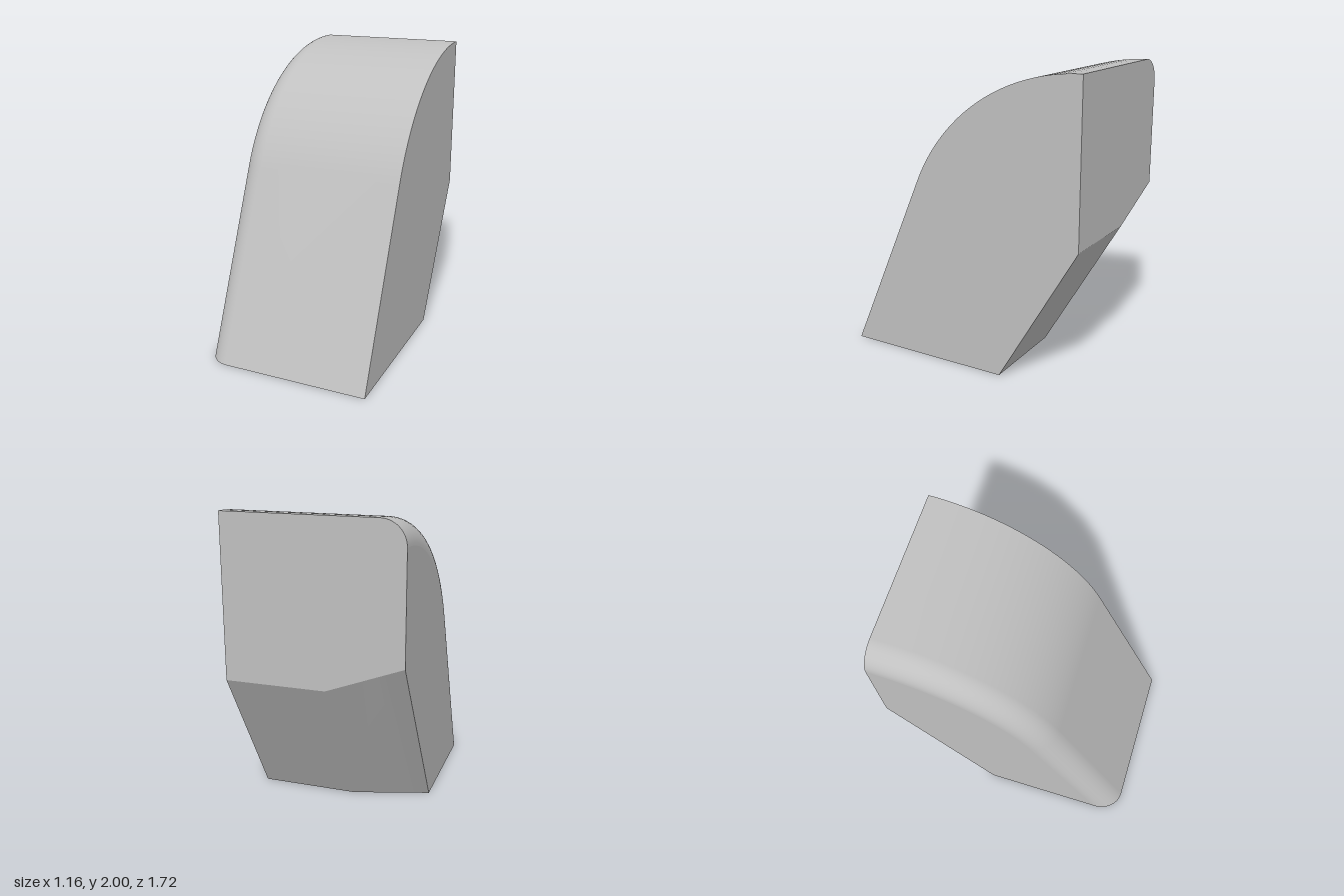
import * as THREE from 'three';

const HALF = 0.58;              // half width
const BACK = -0.86, FRONT = 0.86, TOP = 2;
const FILLET = 0.16;            // rounded edge on the right side
const R = 1.28, SLOPE = THREE.MathUtils.degToRad(23.85); // curved top, leaning front
const BEND = -0.08;             // where the underside starts to taper

// Side outline at one x, in four runs of [z, y] points
function section(x) {
  const u = Math.max(0, -HALF + FILLET - x);
  const inset = FILLET - Math.sqrt(Math.max(0, FILLET * FILLET - u * u));
  const t = Math.max(0, (BEND - x) / (BEND + HALF));
  const front = [[FRONT - inset / Math.cos(SLOPE), 0]];
  const steps = 24;
  for (let i = 0; i <= steps; i++) {
    const a = THREE.MathUtils.lerp(SLOPE, Math.PI / 2, i / steps);
    front.push([BACK + (R - inset) * Math.cos(a), TOP - R + (R - inset) * Math.sin(a)]);
  }
  const backTop = front[front.length - 1];
  const backLow = [BACK, 0.94 + 0.19 * t];
  const heel = [-0.31 + 0.155 * t, 0];
  return { front, back: [backTop, backLow], underside: [backLow, heel], base: [heel, front[0]] };
}

// Stations across the width, dense around the rounded edge
const stations = [HALF, BEND];
for (let i = 0; i <= 14; i++) {
  stations.push(-HALF + FILLET - FILLET * Math.sin((i / 14) * Math.PI / 2));
}
const sections = stations.map(section);

function geometry(points, index) {
  const g = new THREE.BufferGeometry();
  g.setAttribute('position', new THREE.Float32BufferAttribute(points, 3));
  g.setIndex(index);
  g.computeVertexNormals();
  return g;
}

// Skin one run of the outline across all stations
function skin(run) {
  const points = [], index = [];
  const n = sections[0][run].length;
  sections.forEach((s, i) => s[run].forEach(([z, y], j) => {
    points.push(stations[i], y, z);
    if (i && j) {
      const d = i * n + j, c = d - 1, b = d - n, a = b - 1;
      index.push(a, b, c, b, d, c);
    }
  }));
  return geometry(points, index);
}

// Flat side panel closing the outline
function cap(i, flip) {
  const s = sections[i];
  const outline = [...s.front, s.back[1], s.underside[1]];
  const points = outline.flatMap(([z, y]) => [stations[i], y, z]);
  const index = [];
  for (let k = 1; k < outline.length - 1; k++) {
    index.push(0, ...(flip ? [k, k + 1] : [k + 1, k]));
  }
  return geometry(points, index);
}

export function createModel() {
  const group = new THREE.Group();
  group.name = 'roundedWedgeBlock';
  const grey = new THREE.MeshStandardMaterial({ color: 0xc0c0c0 });
  grey.name = 'light grey';
  const add = (name, geo) => {
    const mesh = new THREE.Mesh(geo, grey);
    mesh.name = name;
    group.add(mesh);
  };
  add('curvedFront', skin('front'));
  add('backPanel', skin('back'));
  add('slopedUnderside', skin('underside'));
  add('base', skin('base'));
  add('leftSide', cap(0, false));
  add('rightSide', cap(stations.length - 1, true));
  return group;
}
